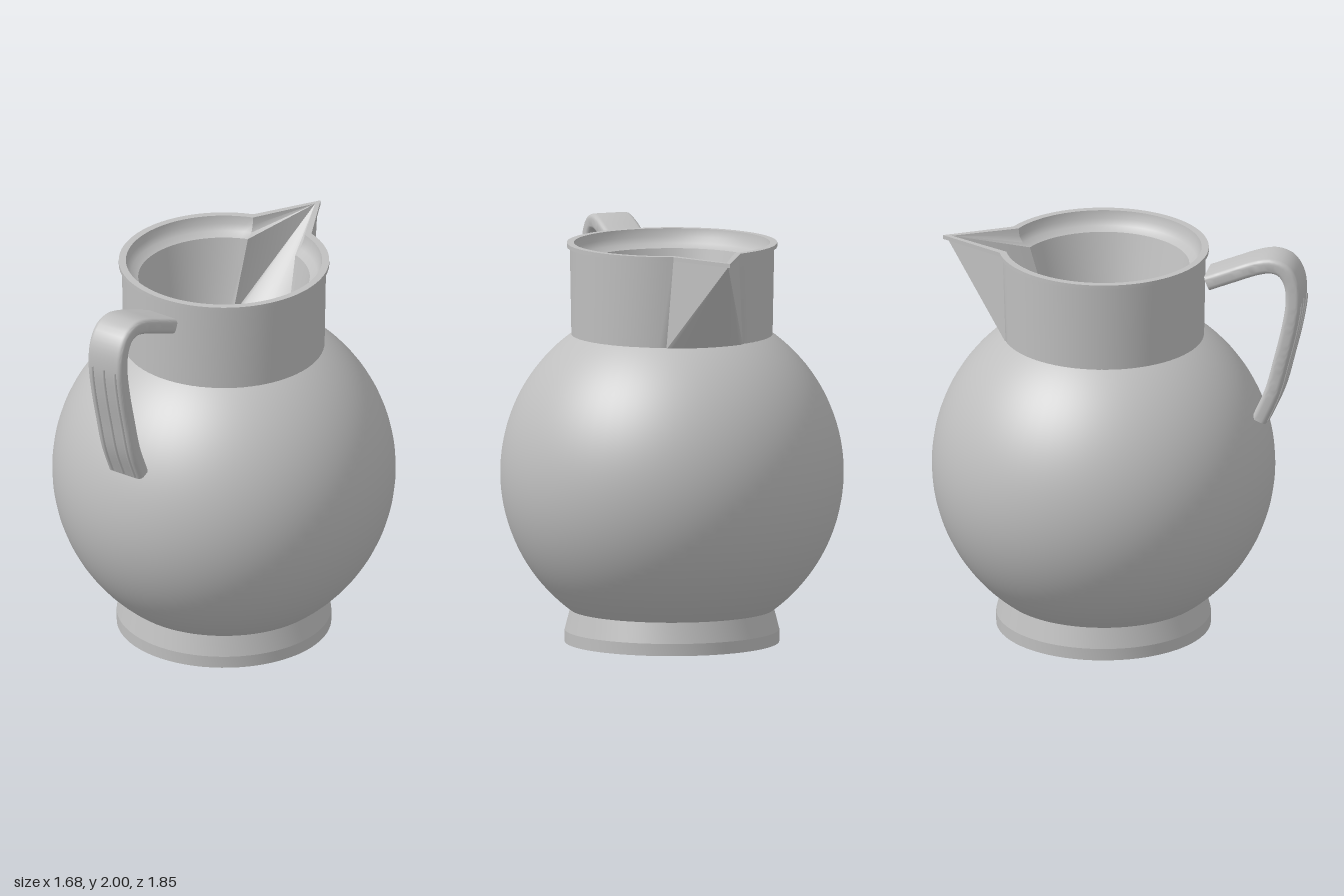
import * as THREE from 'three';
import { toCreasedNormals } from 'three/addons/utils/BufferGeometryUtils.js';

const AXIS_Z = -0.08; // centre line of the round parts

// Skin a list of equal-length point rows, skipping collapsed triangles
function skin(rows, crease) {
  const pos = [];
  const tri = (a, b, c) => {
    const n = b.clone().sub(a).cross(c.clone().sub(a));
    if (n.length() > 1e-9) for (const p of [a, b, c]) pos.push(p.x, p.y, p.z);
  };
  for (let i = 0; i < rows.length - 1; i++) {
    for (let j = 0; j < rows[i].length - 1; j++) {
      const a = rows[i][j], b = rows[i][j + 1], c = rows[i + 1][j + 1], d = rows[i + 1][j];
      tri(a, b, c);
      tri(a, c, d);
    }
  }
  const geo = new THREE.BufferGeometry();
  geo.setAttribute('position', new THREE.Float32BufferAttribute(pos, 3));
  return toCreasedNormals(geo, crease);
}

// One ring of the neck: a circle whose back portion may gather into the spout tip
function neckRow({ r, y, deg, tip, tipY = y }) {
  const a = THREE.MathUtils.degToRad(deg), row = [];
  const onCircle = t => new THREE.Vector3(r * Math.sin(t), y, r * Math.cos(t));
  for (let i = 0; i <= 72; i++) row.push(onCircle(Math.PI + a + (i / 72) * 2 * (Math.PI - a)));
  for (let i = -8; i <= 8; i++) {
    row.push(tip ? new THREE.Vector3(0, tipY, -tip) : onCircle(Math.PI * 3 + (i / 8) * a));
  }
  row.push(row[0].clone());
  return row;
}

export function createModel() {
  const model = new THREE.Group();
  const clay = new THREE.MeshStandardMaterial({ color: 0xbfbfbf });
  clay.name = 'light grey clay';

  const add = (name, geo, z = 0) => {
    const mesh = new THREE.Mesh(geo, clay);
    mesh.name = name;
    mesh.position.z = z;
    model.add(mesh);
    return mesh;
  };

  // Foot ring with a closed base
  const footProfile = [[0, 0], [0.525, 0], [0.525, 0.06], [0.498, 0.165]].map(p => new THREE.Vector2(...p));
  add('foot', toCreasedNormals(new THREE.LatheGeometry(footProfile, 72), 0.17), AXIS_Z);

  // Round belly, cut off at the neck and at the foot
  const cut = Math.asin(0.49 / 0.84);
  const belly = new THREE.SphereGeometry(0.84, 72, 48, 0, Math.PI * 2, cut, Math.PI - 2 * cut);
  add('belly', belly, AXIS_Z).position.y = 0.837;

  // Neck: outer wall, rim, rounded inner lip, tapering inside and floor
  const neck = [
    { r: 0.492, y: 1.51, deg: 24 },
    { r: 0.5, y: 1.95, deg: 20, tip: 0.775 },
    { r: 0.515, y: 1.95, deg: 20, tip: 0.8 },
    { r: 0.515, y: 1.97, deg: 20, tip: 0.8 },
    { r: 0.48, y: 1.97, deg: 19, tip: 0.755 },
    { r: 0.474, y: 1.93, deg: 19, tip: 0.755, tipY: 1.97 },
    { r: 0.455, y: 1.9, deg: 19, tip: 0.755, tipY: 1.97 },
    { r: 0.42, y: 1.88, deg: 20, tip: 0.755, tipY: 1.97 },
    { r: 0.335, y: 1.5, deg: 29 },
    { r: 0, y: 1.5, deg: 29 },
  ];
  add('neckAndSpout', skin(neck.map(neckRow), 0.6), AXIS_Z);

  // Strap handle swept along a curve, from the neck over and down to the belly
  const path = new THREE.CatmullRomCurve3([
    [0.452, 1.85], [0.58, 1.903], [0.7, 1.95], [0.77, 1.963], [0.83, 1.943], [0.87, 1.88],
    [0.88, 1.78], [0.86, 1.64], [0.82, 1.47], [0.775, 1.3], [0.71, 1.147],
  ].map(([z, y]) => new THREE.Vector3(0, y, z)));
  const at = (u, x, n) => {
    const t = path.getTangentAt(u);
    return path.getPointAt(u).add(new THREE.Vector3(x, n * t.z, -n * t.y));
  };

  const w = 0.102, h = 0.038, c = 0.024;
  const section = [];
  [[1, 1], [-1, 1], [-1, -1], [1, -1]].forEach(([sx, sy], k) => {
    for (let i = 0; i <= 5; i++) {
      const t = (k + i / 5) * Math.PI / 2;
      section.push([sx * (w - c) + c * Math.cos(t), sy * (h - c) + c * Math.sin(t)]);
    }
  });
  section.push(section[0]);
  const rows = [];
  const steps = 56;
  for (let i = 0; i <= steps; i++) rows.push(section.map(([x, n]) => at(i / steps, x, n)));
  rows.unshift(section.map(() => path.getPointAt(0)));
  rows.push(section.map(() => path.getPointAt(1)));
  add('handle', skin(rows, 0.6));

  // Three fine ribs down the outside of the handle
  for (const x of [-0.068, 0, 0.068]) {
    const line = [];
    for (let i = 0; i <= 20; i++) line.push(at(0.47 + 0.52 * (i / 20), x, h));
    add('handleRib', new THREE.TubeGeometry(new THREE.CatmullRomCurve3(line), 40, 0.008, 8));
  }
  return model;
}
